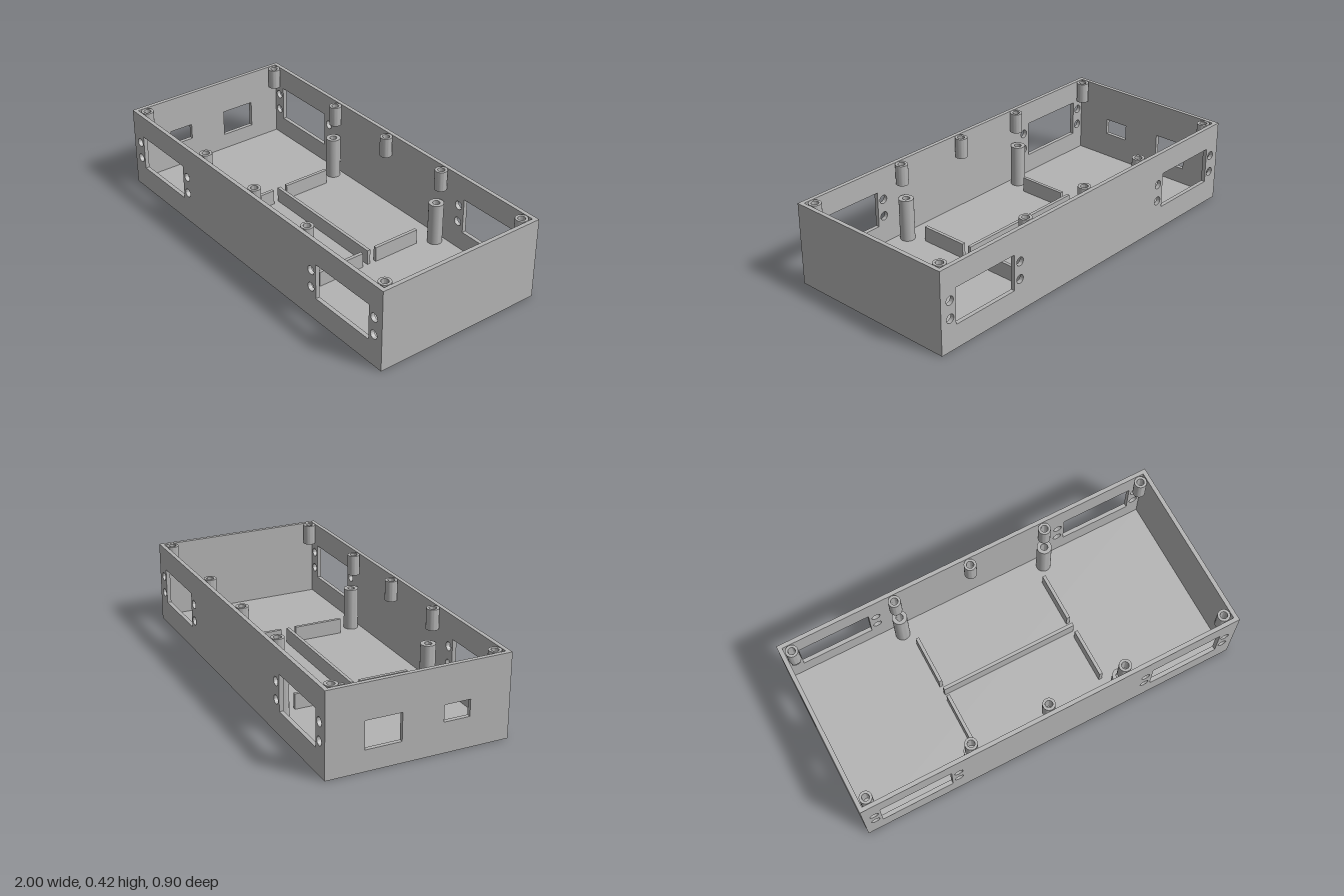
import * as THREE from 'three';
import { toCreasedNormals } from 'three/addons/utils/BufferGeometryUtils.js';

const W = 2, H = 0.42, D = 0.905; // outer size
const T = 0.021;                  // wall and floor thickness

const rect = (Kind, x0, y0, x1, y1) => new Kind([[x0, y0], [x1, y0], [x1, y1], [x0, y1]]
  .map(([x, y]) => new THREE.Vector2(x, y)));

const disc = (x, y, r) => new THREE.Path().absarc(x, y, r, 0, Math.PI * 2, true);

// Upright panel centred on its width, with openings cut through
function panel(width, holes) {
  const shape = rect(THREE.Shape, -width / 2, 0, width / 2, H);
  shape.holes.push(...holes);
  const geo = new THREE.ExtrudeGeometry(shape, { depth: T, bevelEnabled: false, curveSegments: 16 });
  return toCreasedNormals(geo, 0.6);
}

// Round post with a blind screw hole in its top end
function post(r, hole, h, depth) {
  const pts = [[0, 0], [r, 0], [r, h], [hole, h], [hole, h - depth], [0, h - depth]]
    .map(([x, y]) => new THREE.Vector2(x, y));
  return toCreasedNormals(new THREE.LatheGeometry(pts, 32), 0.6);
}

export function createModel() {
  const model = new THREE.Group();
  model.name = 'enclosure';
  const grey = new THREE.MeshStandardMaterial({ color: 0xb3b3b3 });
  grey.name = 'grey plastic';

  const add = (name, geo, x, y, z) => {
    const mesh = new THREE.Mesh(geo, grey);
    mesh.name = name;
    mesh.position.set(x, y, z);
    model.add(mesh);
    return mesh;
  };

  // Front and back walls: two connector windows, each with four screw holes
  const cutouts = [];
  for (const s of [-1, 1]) {
    cutouts.push(rect(THREE.Path, s * 0.725 - 0.185, 0.12, s * 0.725 + 0.185, 0.303));
    for (const x of [0.504, 0.945])
      for (const y of [0.165, 0.255]) cutouts.push(disc(s * x, y, 0.022));
  }
  const longWall = panel(W, cutouts);
  add('frontWall', longWall, 0, 0, D / 2 - T);
  add('backWall', longWall, 0, 0, -D / 2);

  // End walls: one plain, one with two ports
  const inner = D - 2 * T;
  const ports = [
    rect(THREE.Path, -0.265, 0.105, -0.085, 0.243),
    rect(THREE.Path, 0.12, 0.152, 0.25, 0.235),
  ];
  add('leftWall', panel(inner, []), W / 2, 0, 0).rotation.y = -Math.PI / 2;
  add('rightWall', panel(inner, ports), -W / 2 + T, 0, 0).rotation.y = -Math.PI / 2;

  // Floor
  add('floor', new THREE.BoxGeometry(W - 2 * T, T, inner), 0, T / 2, 0);

  // Lid screw posts hanging along the rim
  const lidPost = post(0.031, 0.018, 0.105, 0.09);
  for (const z of [-0.398, 0.398])
    for (const x of [-0.945, -0.407, 0, 0.407, 0.945]) add('lidPost', lidPost, x, H - 0.105, z);

  // Standoffs rising from the floor
  const standoff = post(0.037, 0.018, 0.24 - T, 0.15);
  for (const z of [-0.382, 0.382])
    for (const x of [-0.402, 0.402]) add('standoff', standoff, x, T, z);

  // Low ribs around the middle bay
  const ribH = 0.078, ribT = 0.017, ribY = T + ribH / 2;
  add('centreRib', new THREE.BoxGeometry(0.724, ribH, ribT), 0, ribY, 0);
  const sideRib = new THREE.BoxGeometry(ribT, ribH, 0.256);
  for (const x of [-0.358, 0.358])
    for (const z of [-0.168, 0.168]) add('sideRib', sideRib, x, ribY, z);

  return model;
}
